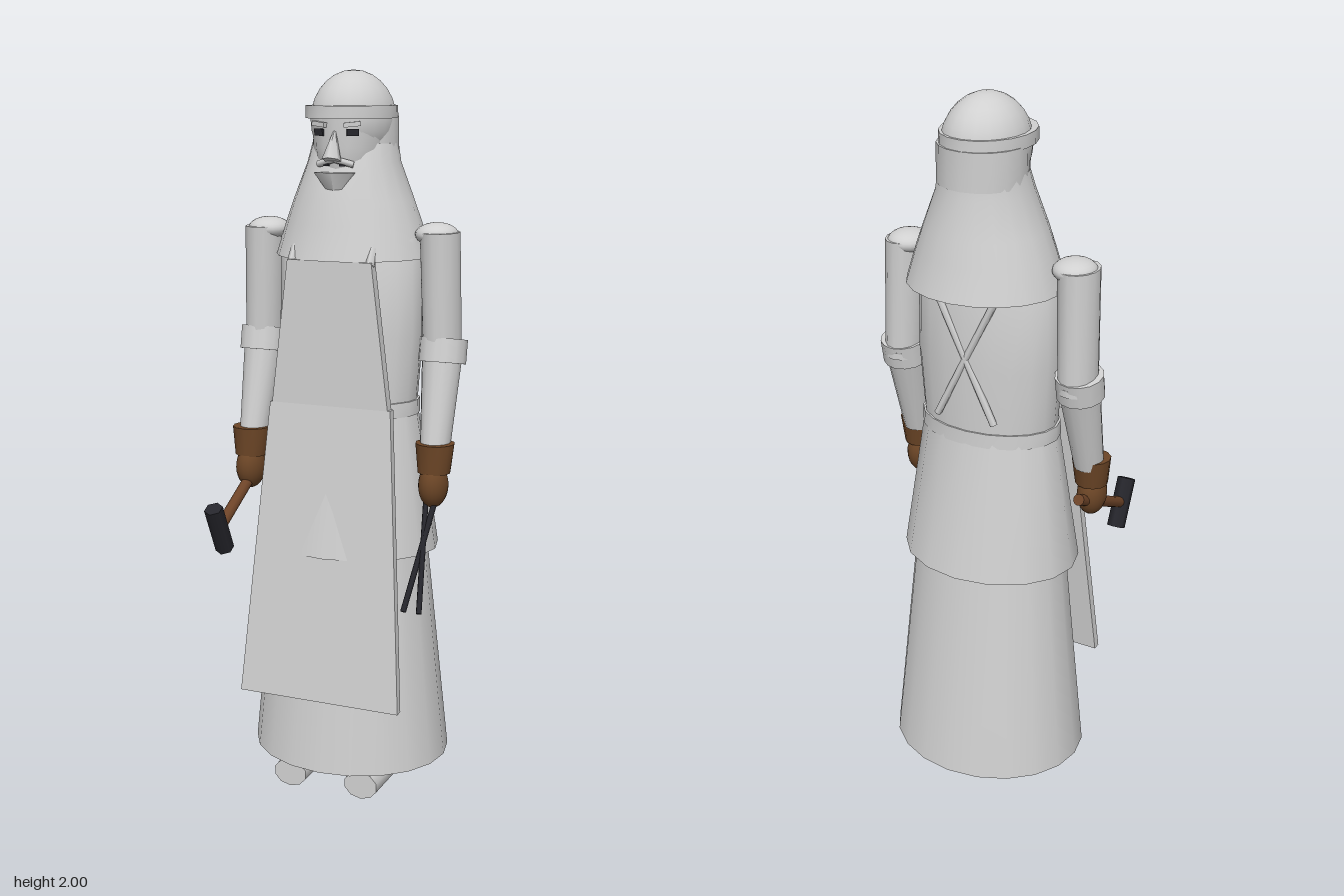
import * as THREE from 'three';
import { toCreasedNormals } from 'three/addons/utils/BufferGeometryUtils.js';

const mat = (name, color) => {
  const m = new THREE.MeshStandardMaterial({ color });
  m.name = name;
  return m;
};

export function createModel() {
  const cloth = mat('pale cloth', 0xd0d0d0);
  const leather = mat('brown leather', 0x6b4526);
  const wood = mat('handle wood', 0x6e4428);
  const iron = mat('dark iron', 0x26262c);
  const root = new THREE.Group();

  const add = (name, geo, material, x = 0, y = 0, z = 0, parent = root) => {
    const m = new THREE.Mesh(geo, material);
    m.name = name;
    m.position.set(x, y, z);
    parent.add(m);
    return m;
  };

  // Elliptical loft, listed top to bottom: [y, radiusX, radiusZ, centreZ, centreX]
  const loft = (sections, sides = 20) => {
    const g = new THREE.CylinderGeometry(1, 1, 1, sides, sections.length - 1);
    const p = g.attributes.position;
    for (let i = 0; i < p.count; i++) {
      const [y, rx, rz, cz = 0, cx = 0] = sections[Math.round((0.5 - p.getY(i)) * (sections.length - 1))];
      p.setXYZ(i, cx + p.getX(i) * rx, y, cz + p.getZ(i) * rz);
    }
    return toCreasedNormals(g, 0.7);
  };

  const ellipsoid = (rx, ry, rz) => new THREE.SphereGeometry(1, 20, 14).scale(rx, ry, rz);

  // Straight rod between two points
  const rod = (name, a, b, r, material, sides = 8) => {
    const from = new THREE.Vector3(...a), to = new THREE.Vector3(...b);
    const dir = to.clone().sub(from);
    const m = add(name, new THREE.CylinderGeometry(r, r, dir.length(), sides), material);
    m.position.copy(from).add(to).multiplyScalar(0.5);
    m.quaternion.setFromUnitVectors(new THREE.Vector3(0, 1, 0), dir.normalize());
    return m;
  };

  // Tapered panel whose top and bottom edges differ in width and depth
  const panel = (yTop, wTop, zTop, yBot, wBot, zBot, thick) => {
    const g = new THREE.BoxGeometry(1, 1, thick);
    const p = g.attributes.position;
    for (let i = 0; i < p.count; i++) {
      const top = p.getY(i) > 0;
      p.setXYZ(i, p.getX(i) * 2 * (top ? wTop : wBot), top ? yTop : yBot, p.getZ(i) + (top ? zTop : zBot));
    }
    g.computeVertexNormals();
    return g;
  };

  // Robe
  add('skirt', loft([[1.12, 0.18, 0.135, -0.035], [0.085, 0.285, 0.248, -0.048]], 20), cloth);
  add('coatTail', loft([[1.1, 0.195, 0.14, -0.035], [0.705, 0.255, 0.208, -0.035]], 16), cloth);
  add('torso', loft([
    [1.64, 0.09, 0.08, -0.045], [1.61, 0.17, 0.115, -0.045], [1.56, 0.2, 0.13, -0.042],
    [1.3, 0.205, 0.137, -0.04], [1.08, 0.19, 0.135, -0.035],
  ]), cloth);
  add('belt', loft([[1.125, 0.199, 0.141, -0.035], [1.085, 0.2, 0.142, -0.035]]), cloth);

  // Apron
  add('apronBib', panel(1.51, 0.12, 0.104, 1.12, 0.168, 0.104, 0.03), cloth);
  add('apronSkirt', panel(1.12, 0.175, 0.105, 0.3, 0.235, 0.193, 0.024), cloth);

  // Head
  add('skullCap', ellipsoid(0.113, 0.13, 0.132), cloth, 0, 1.87, -0.055);
  add('face', loft([
    [1.89, 0.105, 0.128, -0.05], [1.8, 0.1, 0.128, -0.05], [1.73, 0.085, 0.12, -0.05], [1.68, 0.06, 0.1, -0.05],
  ], 18), cloth);
  add('headBand', loft([[1.908, 0.12, 0.143, -0.045], [1.875, 0.121, 0.144, -0.045]], 18), cloth);
  add('headWrap', loft([[1.88, 0.116, 0.115, -0.077], [1.78, 0.118, 0.117, -0.075]], 18), cloth);
  add('veil', loft([
    [1.81, 0.116, 0.118, -0.07], [1.76, 0.126, 0.13, -0.062], [1.66, 0.165, 0.157, -0.06],
    [1.6, 0.187, 0.17, -0.06], [1.51, 0.215, 0.193, -0.06],
  ]), cloth);

  // Facial features
  const nose = add('nose', new THREE.ConeGeometry(0.026, 0.09, 6), cloth, 0, 1.813, 0.084);
  nose.rotation.x = -0.3;
  const beard = add('beard', new THREE.ConeGeometry(0.062, 0.075, 6).scale(1, 1, 0.4), cloth, 0, 1.7, 0.078);
  beard.rotation.x = Math.PI;

  for (const s of [-1, 1]) {
    const side = s > 0 ? 'left' : 'right';
    const eye = add(side + 'Eye', new THREE.BoxGeometry(0.032, 0.018, 0.009), iron, s * 0.047, 1.84, 0.066);
    eye.rotation.y = s * 0.45;
    const brow = add(side + 'Brow', new THREE.BoxGeometry(0.045, 0.012, 0.014), cloth, s * 0.046, 1.861, 0.068);
    brow.rotation.set(0, s * 0.4, s * 0.1);
    rod(side + 'Moustache', [0, 1.772, 0.084], [s * 0.05, 1.758, 0.068], 0.009, cloth, 6);
    const lip = add(side + 'MouthCorner', new THREE.BoxGeometry(0.016, 0.006, 0.006), iron, s * 0.022, 1.757, 0.079);
    lip.rotation.y = s * 0.25;

    // Apron straps, in front and crossing behind
    rod(side + 'FrontStrap', [s * 0.112, 1.5, 0.108], [s * 0.108, 1.63, 0.03], 0.012, cloth, 6);
    rod(side + 'BackStrap', [s * 0.1, 1.53, -0.168], [s * -0.085, 1.16, -0.174], 0.01, cloth, 6);

    // Arm
    add(side + 'Shoulder', ellipsoid(0.058, 0.032, 0.062), cloth, s * 0.245, 1.575, -0.04);
    add(side + 'UpperArm', loft([
      [1.582, 0.053, 0.068, -0.037, s * 0.255], [1.25, 0.052, 0.062, -0.045, s * 0.264],
    ], 14), cloth);
    add(side + 'Forearm', loft([
      [1.27, 0.055, 0.064, -0.044, s * 0.265], [1.0, 0.04, 0.045, 0.025, s * 0.27],
    ], 14), cloth);
    const cuff = add(side + 'SleeveCuff', new THREE.CylinderGeometry(0.065, 0.065, 0.065, 14), cloth, s * 0.267, 1.264, -0.04);
    cuff.rotation.x = -0.2;

    // Glove
    add(side + 'GloveCuff', loft([
      [1.025, 0.054, 0.052, 0.032, s * 0.273], [0.945, 0.045, 0.045, 0.037, s * 0.273],
    ], 12), leather);
    add(side + 'GloveHand', ellipsoid(0.04, 0.062, 0.05), leather, s * 0.273, 0.91, 0.042);

    // Boot
    const boot = add(side + 'Boot', new THREE.CylinderGeometry(0.05, 0.057, 0.255, 10), cloth, s * 0.108, 0.045, 0.027);
    boot.geometry.scale(1, 1, 0.8);
    boot.geometry.rotateX(Math.PI / 2);
    // Flatten the sole onto the ground
    const p = boot.geometry.attributes.position;
    for (let i = 0; i < p.count; i++) p.setY(i, Math.max(p.getY(i), -0.045));
    boot.geometry = toCreasedNormals(boot.geometry, 0.8);
    add(side + 'Leg', loft([[0.4, 0.05, 0.05, -0.04, s * 0.108], [0.04, 0.045, 0.05, -0.04, s * 0.108]], 10), cloth);

    // One jaw of the tongs, held in the left hand
    rod(side + 'TongJaw', [0.27 - s * 0.013, 0.87, 0.055], [0.272 + s * 0.022, 0.6, 0.208], 0.008, iron, 6);
  }

  // Hammer in the right hand
  rod('hammerHandle', [-0.272, 0.925, -0.04], [-0.272, 0.785, 0.24], 0.016, wood, 10);
  rod('hammerHead', [-0.272, 0.846, 0.279], [-0.272, 0.716, 0.216], 0.026, iron, 6);

  return root;
}
